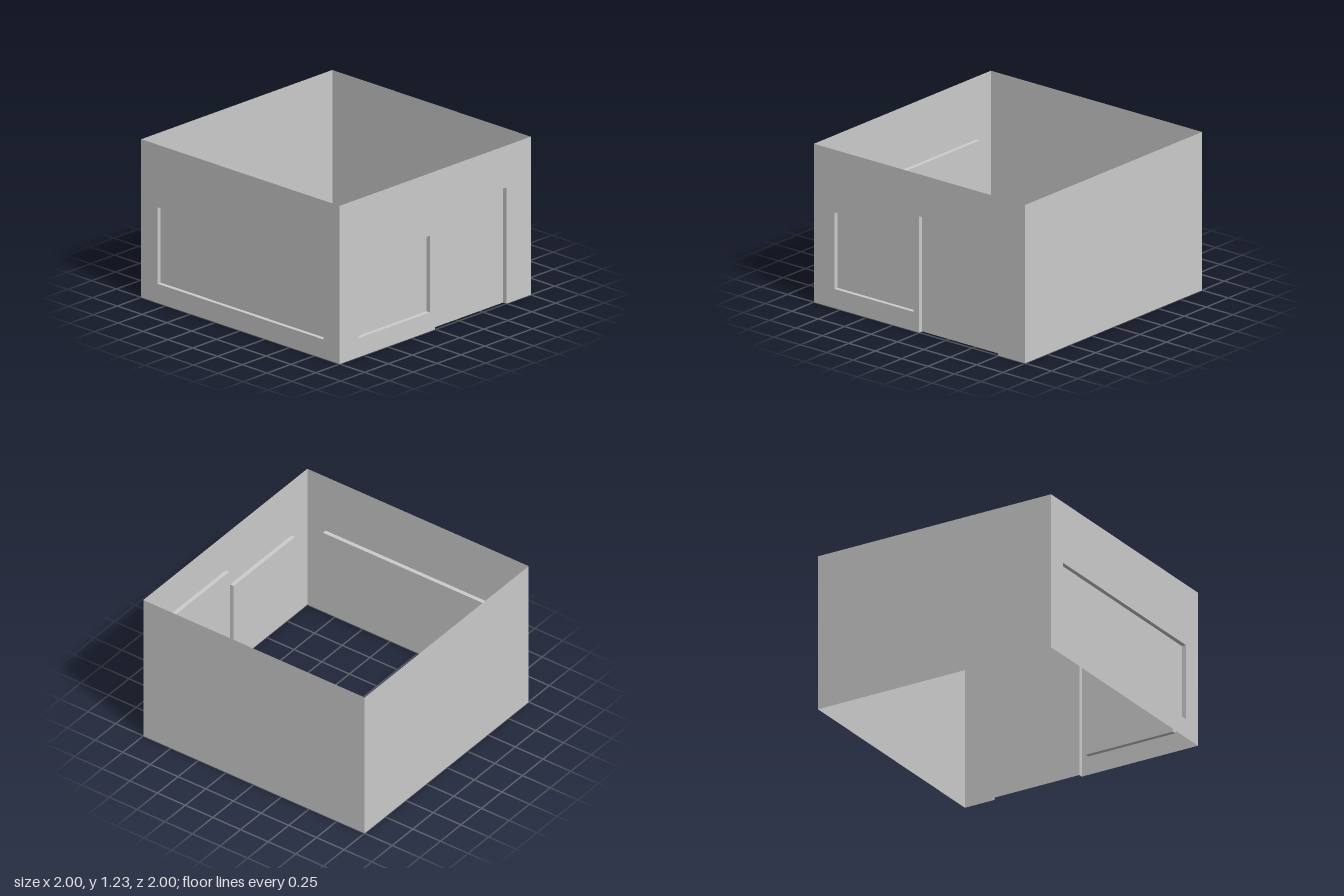
import * as THREE from 'three';

const HEIGHT = 1.225, DEPTH = 0.033;
const material = new THREE.MeshStandardMaterial({ color: 0xcccccc, side: THREE.DoubleSide });

function addPlane(group, name, w, h, position, rotation = [0, 0, 0]) {
  const mesh = new THREE.Mesh(new THREE.PlaneGeometry(w, h), material);
  mesh.name = name;
  mesh.position.set(...position);
  mesh.rotation.set(...rotation);
  group.add(mesh);
}

// Inset panel with its reveals; an opening that reaches the ground has no sill
function recess(name, { x0, x1, y0, y1 }) {
  const group = new THREE.Group();
  group.name = name;
  const w = x1 - x0, h = y1 - y0, cx = (x0 + x1) / 2, cy = (y0 + y1) / 2, mid = -DEPTH / 2;
  addPlane(group, 'panel', w, h, [cx, cy, -DEPTH]);
  addPlane(group, 'jambA', DEPTH, h, [x0, cy, mid], [0, Math.PI / 2, 0]);
  addPlane(group, 'jambB', DEPTH, h, [x1, cy, mid], [0, -Math.PI / 2, 0]);
  addPlane(group, 'head', w, DEPTH, [cx, y1, mid], [Math.PI / 2, 0, 0]);
  if (y0 > 0) addPlane(group, 'sill', w, DEPTH, [cx, y0, mid], [-Math.PI / 2, 0, 0]);
  return group;
}

// Thin wall facing local +z at distance 1, turned about the vertical axis
function wall(name, angle, { window: win, door } = {}) {
  const points = [[-1, 0]];
  if (door) points.push([door.x0, 0], [door.x0, door.y1], [door.x1, door.y1], [door.x1, 0]);
  points.push([1, 0], [1, HEIGHT], [-1, HEIGHT]);
  const shape = new THREE.Shape(points.map(([x, y]) => new THREE.Vector2(x, y)));
  if (win) {
    const { x0, x1, y0, y1 } = win;
    shape.holes.push(new THREE.Path(
      [[x0, y0], [x0, y1], [x1, y1], [x1, y0]].map(([x, y]) => new THREE.Vector2(x, y))));
  }
  const surface = new THREE.Mesh(new THREE.ShapeGeometry(shape), material);
  surface.name = name + 'Surface';
  const body = new THREE.Group();
  body.position.z = 1;
  body.add(surface);
  if (win) body.add(recess('window', win));
  if (door) body.add(recess('door', door));
  const group = new THREE.Group();
  group.name = name;
  group.rotation.y = angle;
  group.add(body);
  return group;
}

export function createModel() {
  const model = new THREE.Group();
  model.name = 'room';
  model.add(
    wall('frontWall', 0, { window: { x0: -0.835, x1: 0.835, y0: 0.148, y1: 0.74 } }),
    wall('leftWall', Math.PI / 2, {
      window: { x0: -0.805, x1: -0.057, y0: 0.148, y1: 0.74 },
      door: { x0: -0.003, x1: 0.745, y0: 0, y1: 0.9 },
    }),
    wall('backWall', Math.PI),
    wall('rightWall', -Math.PI / 2),
  );
  return model;
}
